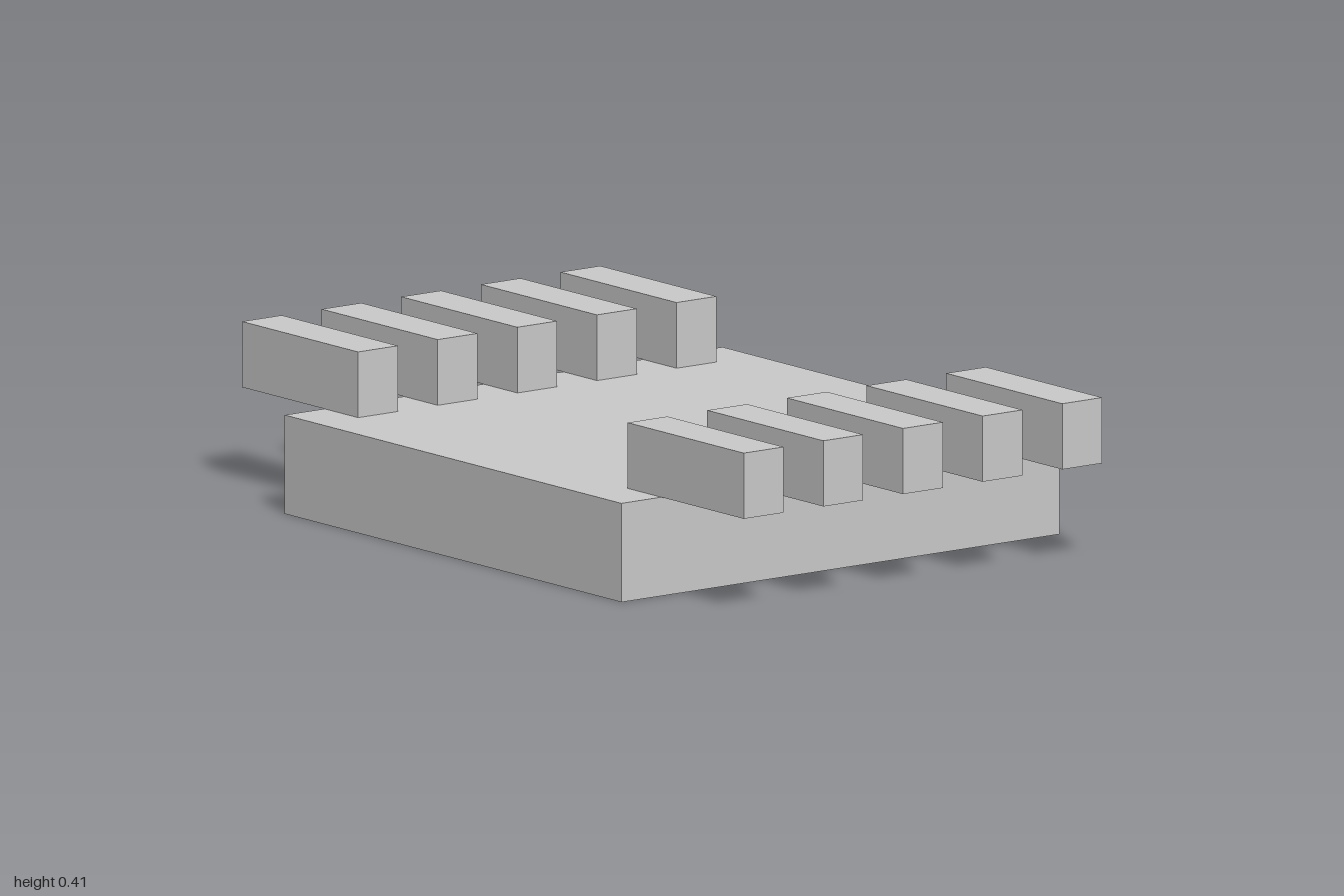
import * as THREE from 'three';

export function createModel() {
  const model = new THREE.Group();
  const material = new THREE.MeshStandardMaterial({ color: 0xcccccc, flatShading: true });

  const addBox = (name, size, position) => {
    const mesh = new THREE.Mesh(new THREE.BoxGeometry(...size), material);
    mesh.name = name;
    mesh.position.set(...position);
    model.add(mesh);
  };

  // Square slab
  const slabHeight = 0.245;
  addBox('body', [1.342, slabHeight, 1.342], [0, slabHeight / 2, 0]);

  // Five pins overhanging the front edge and five overhanging the back
  const pinHeight = 0.163, pinInner = 0.537, pinOuter = 1, pitch = 0.244;
  for (const [side, sign] of [['front', 1], ['back', -1]]) {
    for (let i = -2; i <= 2; i++) {
      addBox(
        `${side}Pin${i + 3}`,
        [0.122, pinHeight, pinOuter - pinInner],
        [i * pitch, slabHeight + pinHeight / 2, sign * (pinInner + pinOuter) / 2]
      );
    }
  }
  return model;
}
